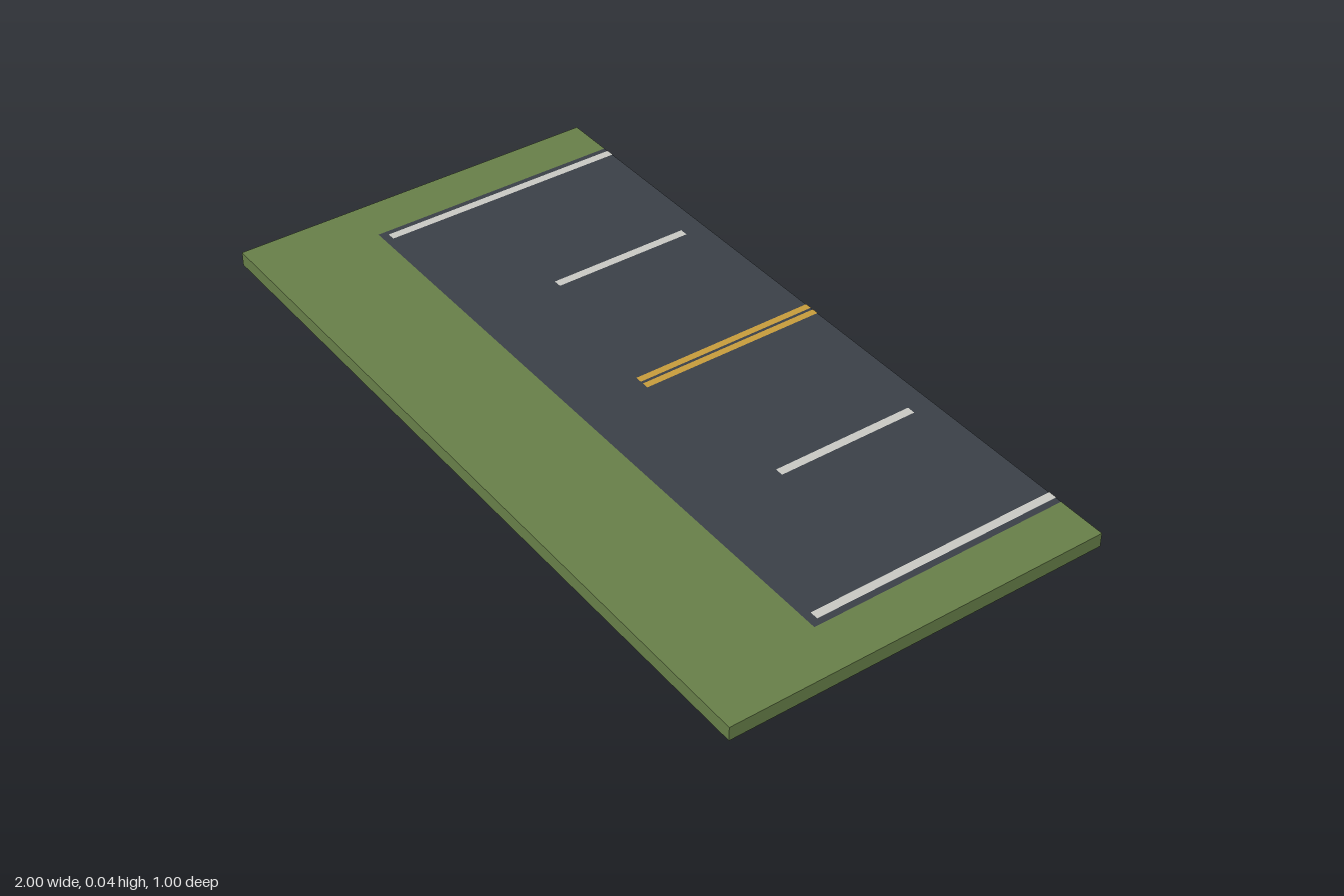
import * as THREE from 'three';

const H = 0.037;        // slab height
const EDGE = 0.872;     // half width of the road
const ROAD_END = 0.185; // where the road stops towards the front

const mat = (name, color) => {
  const m = new THREE.MeshStandardMaterial({ color, side: THREE.DoubleSide });
  m.name = name;
  return m;
};

export function createModel() {
  const grass = mat('grass green', 0x688049);
  const asphalt = mat('asphalt grey', 0x3b4048);
  const white = mat('line white', 0xcacac4);
  const yellow = mat('line yellow', 0xc89d3c);

  const model = new THREE.Group();
  model.name = 'roadEnd';

  const add = (parent, name, geometry, material, x, y, z) => {
    const mesh = new THREE.Mesh(geometry, material);
    mesh.name = name;
    mesh.position.set(x, y, z);
    parent.add(mesh);
  };
  // Horizontal sheet facing up
  const sheet = (parent, name, material, x0, x1, z0, z1, y) =>
    add(parent, name, new THREE.PlaneGeometry(x1 - x0, z1 - z0).rotateX(-Math.PI / 2),
      material, (x0 + x1) / 2, y, (z0 + z1) / 2);
  // Upright walls: across x (facing z) and along z (facing x)
  const wallX = (parent, name, material, x0, x1, z, turn) =>
    add(parent, name, new THREE.PlaneGeometry(x1 - x0, H).rotateY(turn),
      material, (x0 + x1) / 2, H / 2, z);
  const wallZ = (parent, name, material, x, turn) =>
    add(parent, name, new THREE.PlaneGeometry(1, H).rotateY(turn), material, x, H / 2, 0);

  // Closed grass block in front of the road end
  add(model, 'frontVerge', new THREE.BoxGeometry(EDGE * 2, H, 0.5 - ROAD_END),
    grass, 0, H / 2, (0.5 + ROAD_END) / 2);

  // Hollow side verges, open underneath
  for (const s of [-1, 1]) {
    const verge = new THREE.Group();
    verge.name = s > 0 ? 'leftVerge' : 'rightVerge';
    model.add(verge);
    const x0 = s > 0 ? EDGE : -1;
    const x1 = s > 0 ? 1 : -EDGE;
    sheet(verge, 'vergeTop', grass, x0, x1, -0.5, 0.5, H);
    wallZ(verge, 'vergeOuterWall', grass, s, s * Math.PI / 2);
    wallZ(verge, 'vergeInnerWall', grass, s * EDGE, -s * Math.PI / 2);
    wallX(verge, 'vergeFrontWall', grass, x0, x1, 0.5, 0);
    wallX(verge, 'vergeBackWall', grass, x0, x1, -0.5, Math.PI);
  }

  // Road surface and its cut back edge
  sheet(model, 'roadSurface', asphalt, -EDGE, EDGE, -0.5, ROAD_END, H);
  wallX(model, 'roadBackWall', asphalt, -EDGE, EDGE, -0.5, Math.PI);

  // Painted lines, mirrored about the centre: name, material, x, width, z range
  const lines = [
    ['edgeLine', white, 0.845, 0.022, -0.5, 0.165],
    ['laneDash', white, 0.438, 0.022, -0.44, -0.06],
    ['centreLine', yellow, 0.013, 0.018, -0.5, 0],
  ];
  for (const [name, material, x, w, z0, z1] of lines)
    for (const s of [-1, 1])
      sheet(model, name, material, s * x - w / 2, s * x + w / 2, z0, z1, H + 0.0015);

  return model;
}
